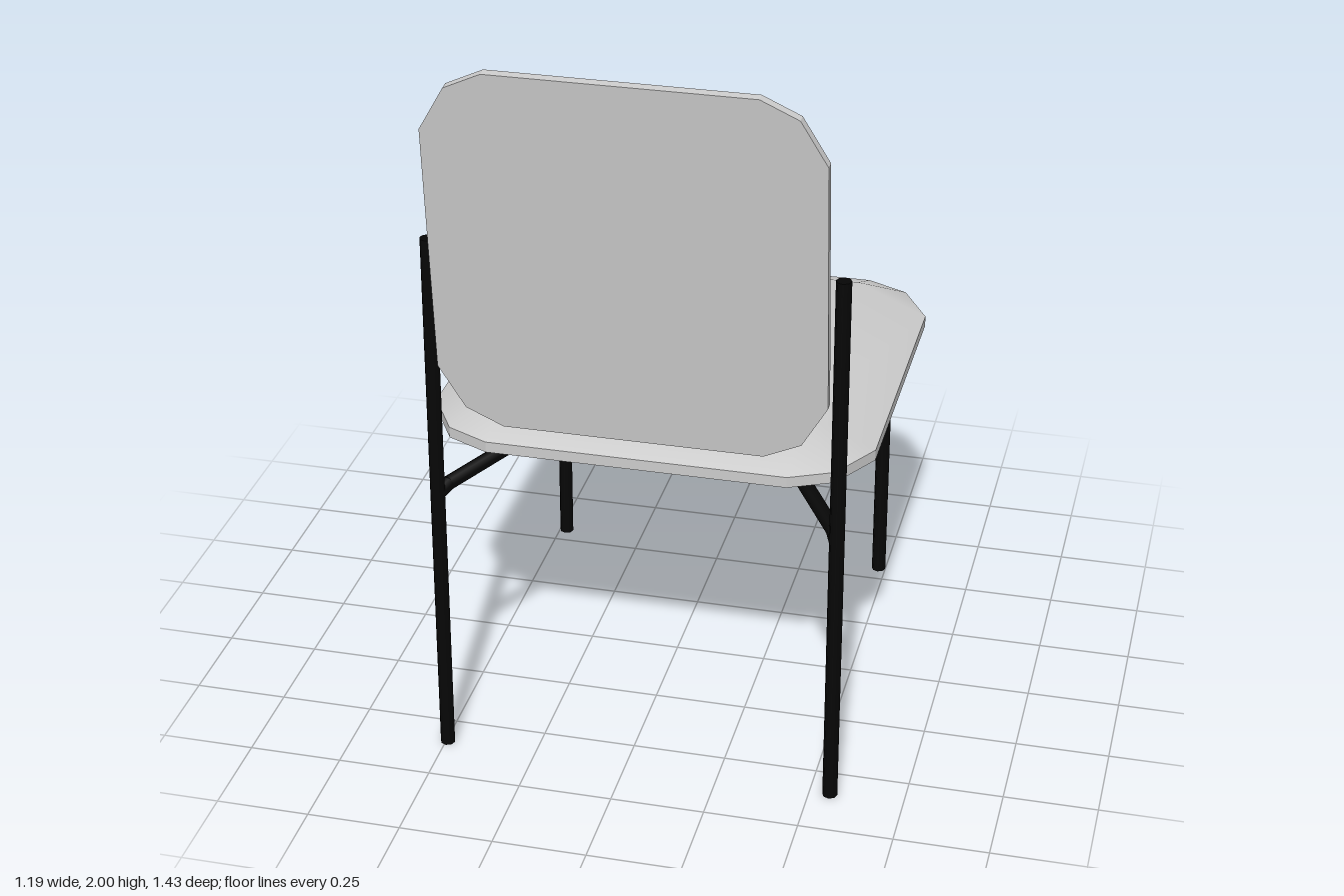
import * as THREE from 'three';

const padMaterial = new THREE.MeshStandardMaterial({ color: 0xcccccc });
const frameMaterial = new THREE.MeshStandardMaterial({ color: 0x060606 });

// Cushioned board: flat base with cut corners, and a domed top that rises to an inner plateau.
// Lies in the local xy plane with the dome towards +z.
function createPad(name, halfW, halfD, scale, rim, height) {
  const outer = [], inner = [];
  for (const [sx, sy] of [[1, 1], [-1, 1], [-1, -1], [1, -1]]) {
    const corner = [[0, 0.195], [0.08, 0.055], [0.195, 0]].map(([dx, dy]) =>
      new THREE.Vector2(sx * (halfW - dx * scale), sy * (halfD - dy * scale)));
    if (sx * sy < 0) corner.reverse();
    outer.push(...corner);
    inner.push([sx * (halfW - 0.195 * scale), sy * (halfD - 0.195 * scale), height]);
  }

  const group = new THREE.Group();
  group.name = name;
  const base = new THREE.Mesh(
    new THREE.ExtrudeGeometry(new THREE.Shape(outer), { depth: rim, bevelEnabled: false }), padMaterial);
  base.name = name + 'Base';

  // Dome: a fan at each corner and a sloping quad along each side
  const index = [];
  for (let i = 0; i < 4; i++) {
    const a = 3 * i, next = (a + 3) % 12, c = 12 + i, cNext = 12 + (i + 1) % 4;
    index.push(c, a, a + 1, c, a + 1, a + 2, c, a + 2, next, c, next, cNext);
  }
  index.push(12, 13, 14, 12, 14, 15);
  const geometry = new THREE.BufferGeometry();
  const points = [...outer.map(p => [p.x, p.y, rim]), ...inner];
  geometry.setAttribute('position', new THREE.Float32BufferAttribute(points.flat(), 3));
  geometry.setIndex(index);
  geometry.computeVertexNormals();
  const dome = new THREE.Mesh(geometry, padMaterial);
  dome.name = name + 'Cushion';
  group.add(base, dome);
  return group;
}

// Round bar between two points
function createBar(name, from, to, radius = 0.02) {
  const a = new THREE.Vector3(...from), b = new THREE.Vector3(...to);
  const bar = new THREE.Mesh(new THREE.CylinderGeometry(radius, radius, a.distanceTo(b), 8), frameMaterial);
  bar.position.copy(a).add(b).multiplyScalar(0.5);
  bar.quaternion.setFromUnitVectors(new THREE.Vector3(0, 1, 0), b.sub(a).normalize());
  bar.name = name;
  return bar;
}

export function createModel() {
  const chair = new THREE.Group();
  chair.name = 'chair';

  // Seat
  const seat = createPad('seat', 0.595, 0.593, 1, 0.03, 0.115);
  seat.rotation.x = -Math.PI / 2;
  seat.position.set(0, 0.84, -0.118);
  chair.add(seat);

  // Backrest, cushion towards the seat and leaning back
  const backrest = createPad('backrest', 0.5, 0.502, 0.84, 0.025, 0.102);
  backrest.rotation.set(Math.atan(0.104), Math.PI, 0);
  backrest.position.set(0.03, 1.5, 0.663);
  chair.add(backrest);

  // Legs and the bent struts joining the tall posts to the seat
  for (const [side, s, x] of [['left', 1, 0.555], ['right', -1, -0.495]]) {
    chair.add(createBar(side + 'SeatLeg', [s * 0.48, 0, -0.56], [s * 0.48, 0.845, -0.56]));
    chair.add(createBar(side + 'BackPost', [x, 0, 0.595], [x, 1.5, 0.595]));
    const bend = [x - s * 0.017, 0.782, 0.555];
    chair.add(createBar(side + 'StrutJoint', [x, 0.77, 0.595], bend));
    chair.add(createBar(side + 'Strut', bend, [x - s * 0.19, 0.827, 0.29]));
  }
  return chair;
}
